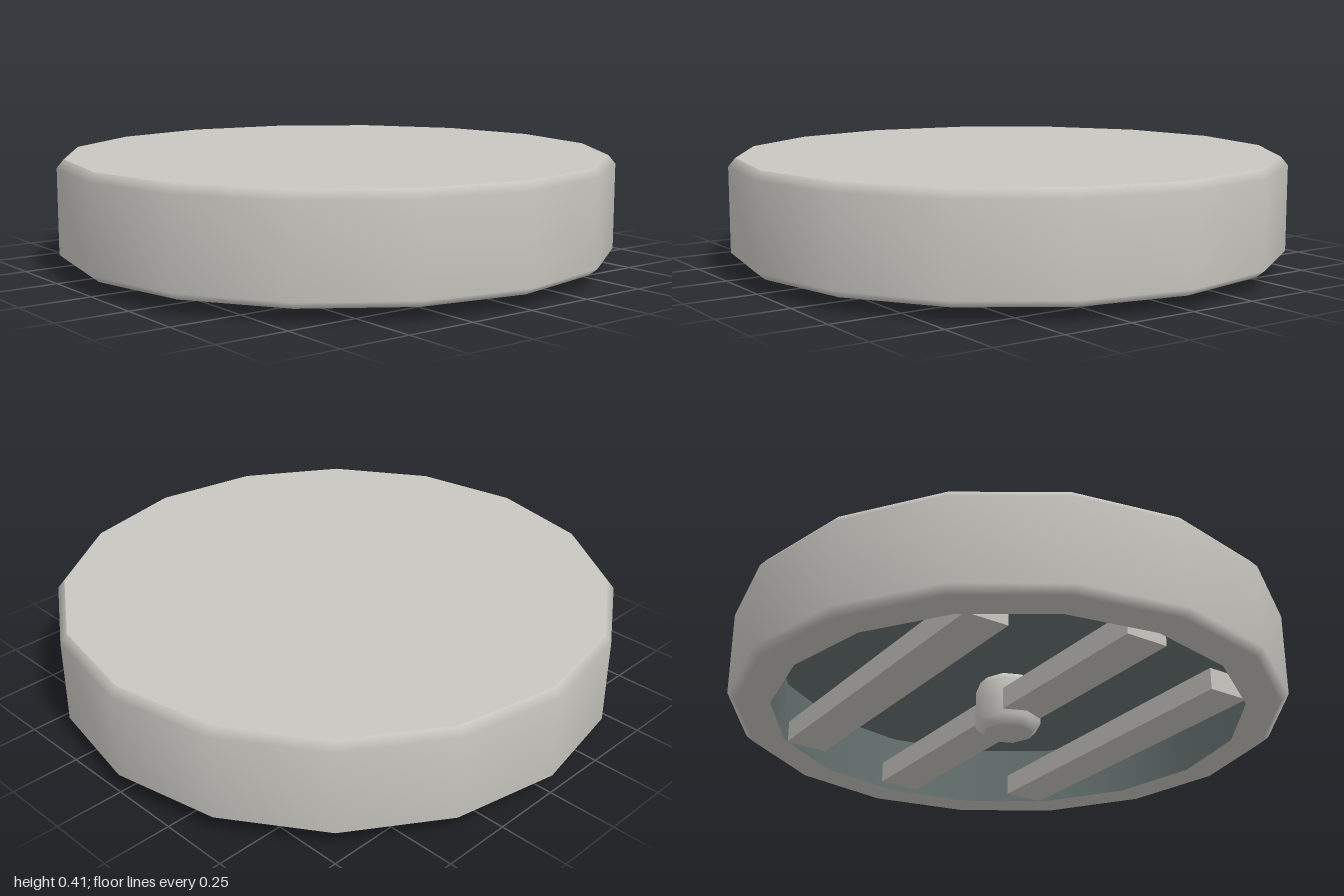
import * as THREE from 'three';

const SIDES = 16;

export function createModel() {
  const model = new THREE.Group();
  const shell = new THREE.MeshStandardMaterial({ color: 0xc9c7c1 });
  shell.name = 'warm light grey';
  const inside = new THREE.MeshStandardMaterial({ color: 0x687573 });
  inside.name = 'dark slate grey';

  const add = (name, geometry, material) => {
    const mesh = new THREE.Mesh(geometry, material);
    mesh.name = name;
    model.add(mesh);
    return mesh;
  };
  const lathe = (points, sides) =>
    new THREE.LatheGeometry(points.map(([r, y]) => new THREE.Vector2(r, y)), sides);

  // Round housing: flat underside lip, chamfered smooth wall
  add('housingWall', lathe([[0.85, 0.045], [0.97, 0.045], [1, 0.07], [1, 0.375], [0.975, 0.405]], SIDES), shell);

  // Flat lid with a crisp edge
  add('lid', lathe([[0.975, 0.405], [0, 0.405]], SIDES), shell);

  // Hollow underside
  add('cavityWall', lathe([[0.85, 0.27], [0.85, 0.045]], SIDES), inside);
  add('cavityCeiling', lathe([[0, 0.27], [0.85, 0.27]], SIDES), inside);

  // Three parallel slats across the opening
  for (const [z, halfLength] of [[-0.5, 0.625], [0, 0.79], [0.5, 0.625]]) {
    add('slat', new THREE.BoxGeometry(halfLength * 2, 0.08, 0.16), shell).position.set(0, 0.087, z);
  }

  // Chamfered eight-sided knob through the middle slat
  add('knob', lathe([[0.09, 0], [0.12, 0.03], [0.12, 0.17], [0.09, 0.2]], 8), shell);
  add('knobBottom', lathe([[0, 0], [0.09, 0]], 8), shell);
  add('knobTop', lathe([[0.09, 0.2], [0, 0.2]], 8), shell);

  return model;
}
